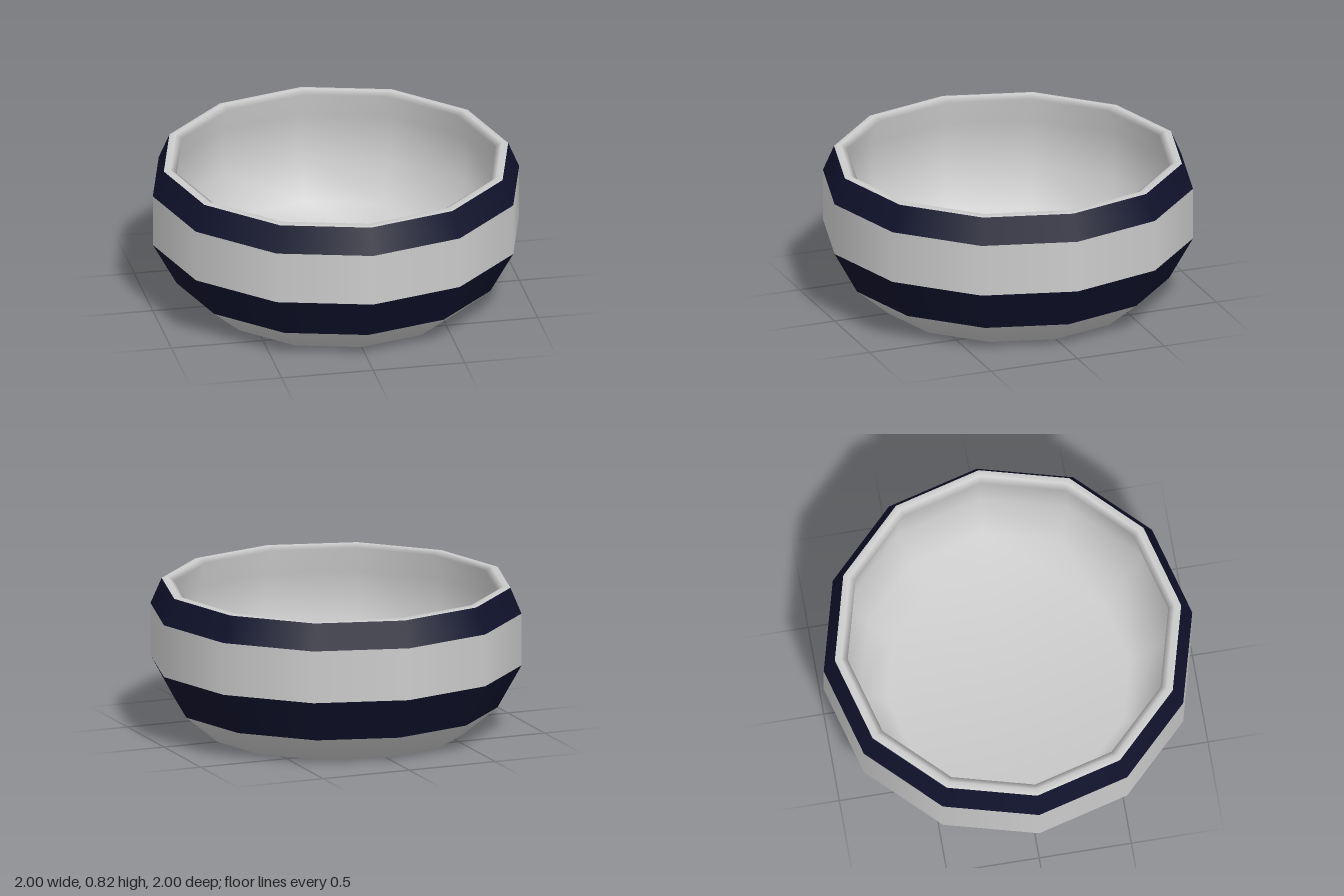
import * as THREE from 'three';

const SIDES = 12;
const GREY = 0xcccccc;
const NAVY = 0x10122c;

// Revolves an [radius, height] profile into a faceted ring with smooth normals
function ring(name, color, profile) {
  const points = profile.map(([r, y]) => new THREE.Vector2(r, y));
  const mesh = new THREE.Mesh(
    new THREE.LatheGeometry(points, SIDES),
    new THREE.MeshStandardMaterial({ color })
  );
  mesh.name = name;
  return mesh;
}

export function createModel() {
  const bowl = new THREE.Group();
  bowl.name = 'bowl';

  bowl.add(
    // Outside, from the base upwards
    ring('base', GREY, [[0, 0], [0.69, 0], [0.87, 0.15]]),
    ring('lowerStripe', NAVY, [[0.87, 0.15], [1, 0.385]]),
    ring('middleBand', GREY, [[1, 0.385], [1, 0.67]]),
    ring('upperStripe', NAVY, [[1, 0.67], [0.94, 0.81]]),
    // Rounded lip, then the hollow following the outer wall down
    ring('lipAndInside', GREY, [
      [0.94, 0.81], [0.905, 0.817], [0.87, 0.795],
      [0.925, 0.655], [0.925, 0.4], [0.805, 0.195], [0.66, 0.07], [0, 0.07],
    ])
  );
  return bowl;
}
